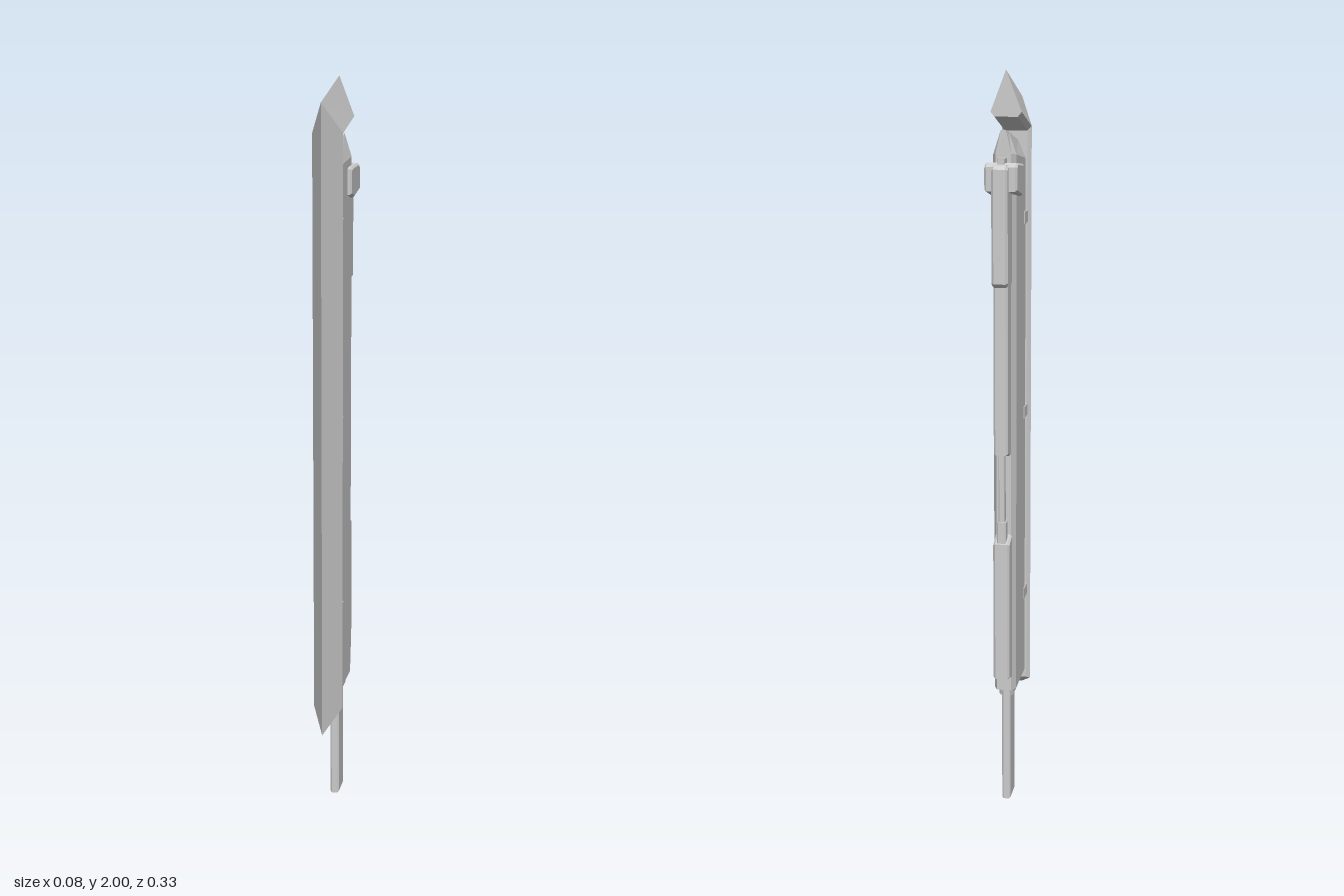
import * as THREE from 'three';

const material = new THREE.MeshStandardMaterial({ color: 0xcccccc, flatShading: true });

// Closed skin through rings of [x, y, z] corners, capped at both ends
function loft(rings) {
  const pos = [];
  const tri = (a, b, c) => pos.push(...a, ...b, ...c);
  const n = rings[0].length;
  for (let r = 0; r < rings.length - 1; r++) {
    for (let i = 0; i < n; i++) {
      const j = (i + 1) % n, lo = rings[r], hi = rings[r + 1];
      tri(lo[i], lo[j], hi[j]);
      tri(lo[i], hi[j], hi[i]);
    }
  }
  const first = rings[0], last = rings[rings.length - 1];
  for (let i = 1; i < n - 1; i++) {
    tri(first[0], first[i + 1], first[i]);
    tri(last[0], last[i], last[i + 1]);
  }
  const geo = new THREE.BufferGeometry();
  geo.setAttribute('position', new THREE.Float32BufferAttribute(pos, 3));
  geo.computeVertexNormals();
  return geo;
}

// Side outline of [z, y] points, given a width along x and chamfered rims
function plate(outline, halfWidth, bevel) {
  const shape = new THREE.Shape(outline.map(([z, y]) => new THREE.Vector2(z, y)));
  const depth = 2 * (halfWidth - bevel);
  const geo = new THREE.ExtrudeGeometry(shape, {
    depth, bevelEnabled: true, bevelSegments: 1,
    bevelSize: bevel, bevelThickness: bevel, bevelOffset: -bevel,
  });
  return geo.translate(0, 0, -depth / 2).rotateY(-Math.PI / 2);
}

const rect = (z0, z1, y0, y1) => [[z0, y0], [z1, y0], [z1, y1], [z0, y1]];

export function createModel() {
  const group = new THREE.Group();
  const add = (name, geo) => {
    const mesh = new THREE.Mesh(geo, material);
    mesh.name = name;
    group.add(mesh);
  };

  // Blade: ridge, shoulder and back carried up and mitred over the top
  const bladeRing = ([ridge, wide, back]) => [
    [0, ridge[1], ridge[0]],
    [0.04, wide[1], wide[0]], [0.03, back[1], back[0]],
    [-0.03, back[1], back[0]], [-0.04, wide[1], wide[0]],
  ];
  add('blade', loft([
    [[0.168, 0.255], [0.085, 0.304], [0.075, 0.31]],
    [[0.168, 1.932], [0.085, 1.857], [0.075, 1.846]],
    [[-0.068, 2.0], [-0.068, 1.897], [-0.068, 1.885]],
  ].map(bladeRing)));

  // Spine: chamfered at the back, pinched to a sloping ridge on top
  const spineSection = [[0.03, 0.05], [0.03, -0.085], [0.02, -0.105],
    [-0.02, -0.105], [-0.03, -0.085], [-0.03, 0.05]];
  const spineRing = (base, slope, pinch) => spineSection.map(
    ([x, z]) => [x * pinch, base - slope * (z - 0.05), z]);
  add('spine', loft([
    spineRing(0.345, 0, 1), spineRing(1.777, 0.12, 1), spineRing(1.823, 0.2, 0.33),
  ]));

  // Brackets between blade and spine
  for (const y of [0.58, 1.1, 1.625]) {
    add('bracket', plate(rect(0.024, 0.08, y - 0.021, y + 0.021), 0.032, 0.006));
  }

  // Grip and collar
  add('grip', plate(rect(-0.075, -0.004, 0, 0.36), 0.012, 0.004));
  add('collar', plate([[-0.07, 0.315], [-0.005, 0.315], [0.005, 0.35], [-0.08, 0.35]], 0.02, 0.004));

  // Mechanism along the back of the spine
  add('lowerHousing', plate(
    [[-0.148, 0.395], [-0.09, 0.378], [-0.09, 0.802], [-0.148, 0.78]], 0.022, 0.006));
  add('rodSocket', plate(rect(-0.144, -0.11, 0.77, 0.84), 0.012, 0.003));
  add('rod', plate(rect(-0.138, -0.118, 0.8, 1.05), 0.008, 0.002));
  add('slideRail', plate(
    [[-0.15, 1.025], [-0.09, 1.01], [-0.09, 1.5], [-0.15, 1.5]], 0.019, 0.005));
  add('upperHousing', plate(
    [[-0.165, 1.475], [-0.155, 1.465], [-0.09, 1.465], [-0.09, 1.775], [-0.155, 1.77], [-0.165, 1.76]],
    0.021, 0.006));
  add('topPin', plate(rect(-0.138, -0.09, 1.74, 1.787), 0.009, 0.002));

  // Crossbar through the top of the spine
  add('crossbar', plate(
    [[-0.146, 1.705], [-0.065, 1.688], [-0.024, 1.697], [-0.024, 1.763], [-0.04, 1.768], [-0.13, 1.775], [-0.146, 1.765]],
    0.042, 0.005));

  return group;
}
